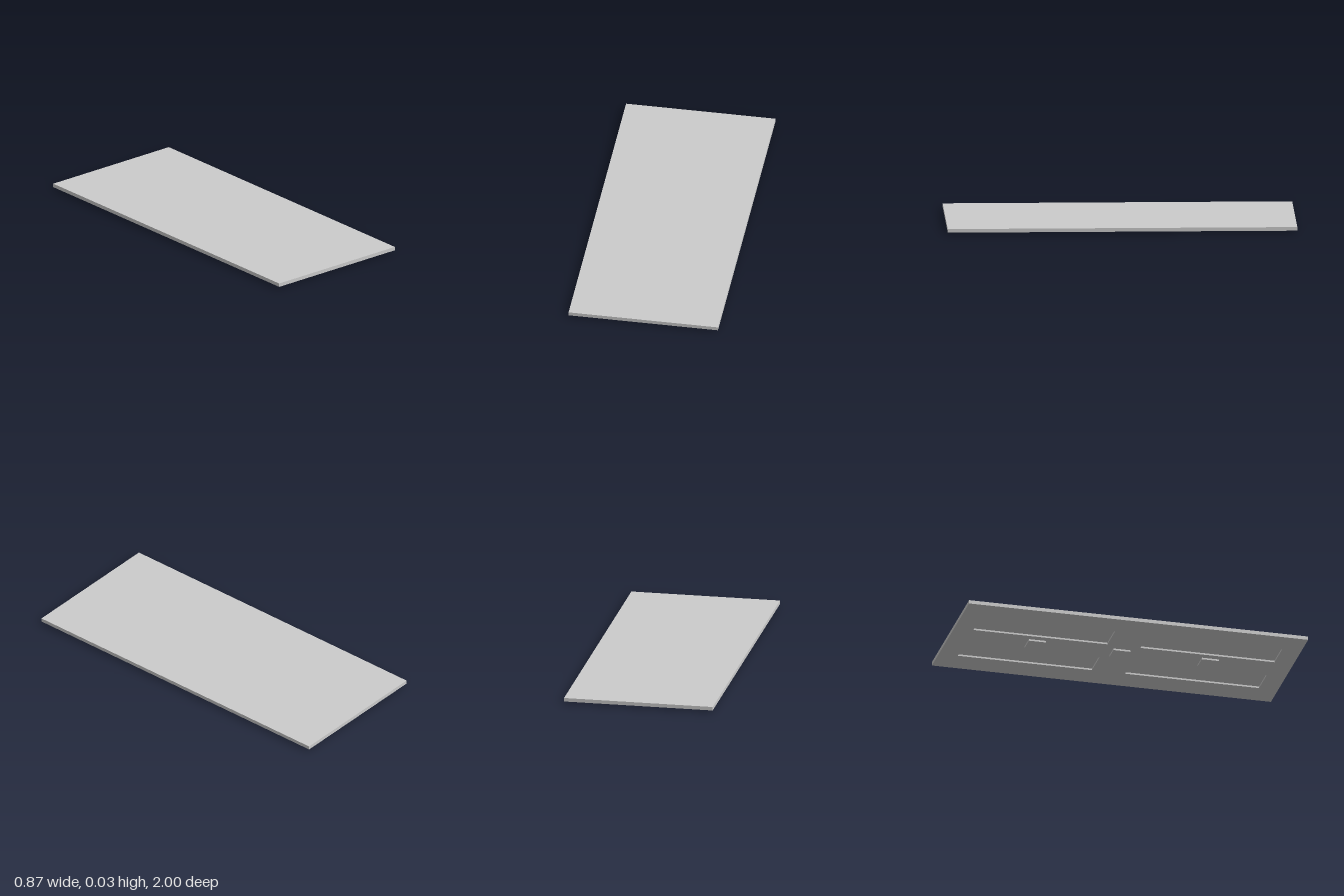
import * as THREE from 'three';

const material = new THREE.MeshStandardMaterial({ color: 0xcccccc, flatShading: true });

const WIDTH = 0.866, LENGTH = 2;
const BOTTOM = 0.01, RECESS_TOP = 0.02, TOP = 0.031;

function rectangle(path, x, z, w, l) {
  path.moveTo(x - w / 2, z - l / 2);
  path.lineTo(x + w / 2, z - l / 2);
  path.lineTo(x + w / 2, z + l / 2);
  path.lineTo(x - w / 2, z + l / 2);
  path.closePath();
  return path;
}

function addMesh(parent, name, geometry, x, y, z) {
  const mesh = new THREE.Mesh(geometry, material);
  mesh.name = name;
  mesh.position.set(x, y, z);
  parent.add(mesh);
}

export function createModel() {
  const model = new THREE.Group();
  model.name = 'panel';

  // Upper layer, whose underside forms the floors of the recesses
  addMesh(model, 'topPlate', new THREE.BoxGeometry(WIDTH, TOP - RECESS_TOP, LENGTH),
    0, (TOP + RECESS_TOP) / 2, 0);

  // Lower layer, cut by four long shallow recesses
  const outline = rectangle(new THREE.Shape(), 0, 0, WIDTH, LENGTH);
  for (const sx of [-1, 1]) {
    for (const sz of [-1, 1]) {
      outline.holes.push(rectangle(new THREE.Path(), sx * 0.18, sz * 0.493, 0.178, 0.79));
    }
  }
  const lower = new THREE.ExtrudeGeometry(outline, { depth: RECESS_TOP - BOTTOM, bevelEnabled: false });
  lower.rotateX(-Math.PI / 2);
  addMesh(model, 'recessedUnderside', lower, 0, BOTTOM, 0);

  // Small square feet along the centre line
  for (const [z, w] of [[0.52, 0.1], [0, 0.092], [-0.5, 0.1]]) {
    addMesh(model, 'foot', new THREE.BoxGeometry(w, BOTTOM, 0.1), 0, BOTTOM / 2, z);
  }
  return model;
}
